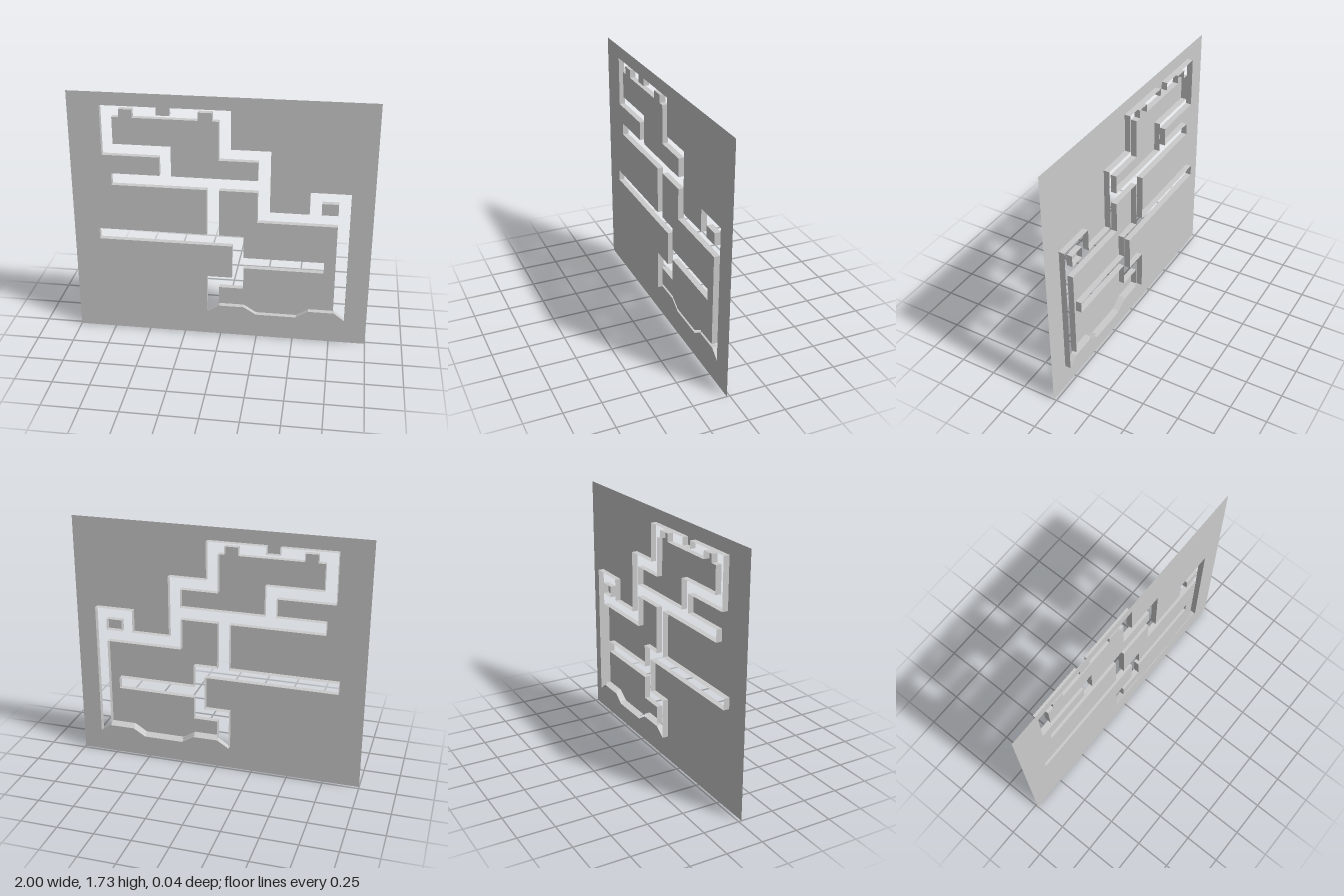
import * as THREE from 'three';

const HALF = 0.02; // half the depth of the walls
const TOP = 1.73;

// Edge of the winding corridor, clockwise from its top left corner
const corridor = [
  [-0.787, 1.641], [-0.418, 1.641], [-0.418, 1.588], [-0.33, 1.588], [-0.33, 1.641], [0.065, 1.641],
  [0.065, 1.381], [0.325, 1.381], [0.325, 0.956], [0.585, 0.956], [0.585, 1.112], [0.85, 1.112],
  [0.85, 0.17], [0.78, 0.223], [0.603, 0.223], [0.52, 0.171], [0.245, 0.171], [0.16, 0.223],
  [-0.012, 0.223], [-0.094, 0.17], [-0.094, 0.45], [0.077, 0.45], [0.077, 0.688], [-0.83, 0.688],
  [-0.83, 0.765], [-0.094, 0.765], [-0.094, 1.09], [-0.73, 1.09], [-0.73, 1.173], [-0.405, 1.173],
  [-0.405, 1.301], [-0.787, 1.301],
];

// Pieces standing free inside the corridor
const islands = {
  upperIsland: [
    [-0.708, 1.565], [-0.662, 1.565], [-0.662, 1.62], [-0.575, 1.62], [-0.575, 1.565], [-0.148, 1.565],
    [-0.148, 1.62], [-0.056, 1.62], [-0.056, 1.565], [-0.014, 1.565], [-0.014, 1.301], [0.243, 1.301],
    [0.243, 1.173], [-0.327, 1.173], [-0.327, 1.381], [-0.708, 1.381],
  ],
  lowerIsland: [
    [-0.012, 1.09], [0.243, 1.09], [0.243, 0.875], [0.772, 0.875], [0.772, 0.245], [0.603, 0.245],
    [0.52, 0.192], [0.245, 0.192], [0.16, 0.245], [-0.012, 0.245], [-0.012, 0.37], [0.155, 0.37],
    [0.155, 0.528], [0.695, 0.528], [0.695, 0.607], [0.155, 0.607], [0.155, 0.765], [-0.012, 0.765],
  ],
  smallIsland: [[0.663, 1.037], [0.772, 1.037], [0.772, 0.957], [0.663, 0.957]],
};

const toPoints = (list) => list.map(([x, y]) => new THREE.Vector2(x, y));

// Thin walls running back from the sheet along a closed outline
function wallGeometry(loop) {
  const pos = [];
  loop.forEach(([ax, ay], i) => {
    const [bx, by] = loop[(i + 1) % loop.length];
    pos.push(ax, ay, -HALF, bx, by, -HALF, bx, by, HALF);
    pos.push(ax, ay, -HALF, bx, by, HALF, ax, ay, HALF);
  });
  const g = new THREE.BufferGeometry();
  g.setAttribute('position', new THREE.Float32BufferAttribute(pos, 3));
  g.computeVertexNormals();
  return g;
}

export function createModel() {
  const group = new THREE.Group();
  const material = new THREE.MeshStandardMaterial({
    color: 0xcccccc, flatShading: true, side: THREE.DoubleSide,
  });
  const add = (name, geometry) => {
    const mesh = new THREE.Mesh(geometry, material);
    mesh.name = name;
    group.add(mesh);
  };
  const addSheet = (name, shape) => add(name, new THREE.ShapeGeometry(shape).translate(0, 0, HALF));

  // Single front sheet with the corridor cut out, and the walls behind its edge
  const plate = new THREE.Shape(toPoints([[-1, 0], [1, 0], [1, TOP], [-1, TOP]]));
  plate.holes.push(new THREE.Path(toPoints(corridor)));
  addSheet('plate', plate);
  add('corridorWalls', wallGeometry(corridor));

  // Free-standing pieces, open at the back
  for (const [name, outline] of Object.entries(islands)) {
    addSheet(name, new THREE.Shape(toPoints(outline)));
    add(`${name}Walls`, wallGeometry(outline));
  }
  return group;
}
